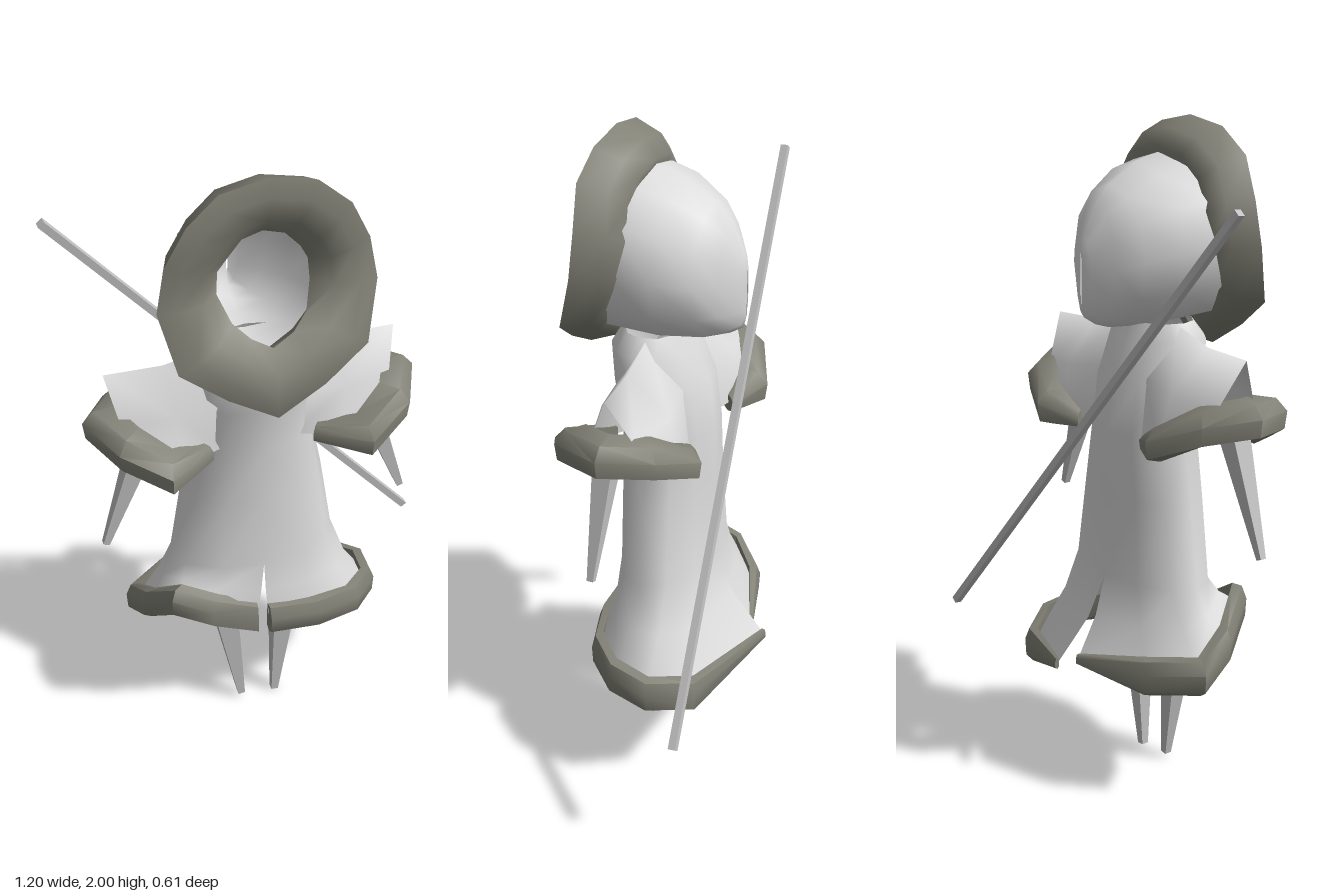
import * as THREE from 'three';
import { mergeVertices, toCreasedNormals } from 'three/addons/utils/BufferGeometryUtils.js';

const CX = -0.045; // the figure stands slightly to one side of the staff's middle
const cloth = new THREE.MeshStandardMaterial({ color: 0xdcdcdc, side: THREE.DoubleSide });
cloth.name = 'pale cloth';
const fur = new THREE.MeshStandardMaterial({ color: 0x828277, side: THREE.DoubleSide });
fur.name = 'grey fur';
const wood = new THREE.MeshStandardMaterial({ color: 0xc2c2c2 });
wood.name = 'light grey';

// Skins one or more grids of points; turns each grid's faces outward by signed volume
function loft(grids, { crease = 0, closed = false, caps = false } = {}) {
  const points = [];
  for (const rows of grids) {
    const tris = [];
    const n = rows[0].length, cols = closed ? n : n - 1;
    for (let i = 0; i < rows.length - 1; i++) {
      for (let j = 0; j < cols; j++) {
        const k = (j + 1) % n;
        const [a, b, c, d] = [rows[i][j], rows[i][k], rows[i + 1][k], rows[i + 1][j]];
        tris.push([a, b, c], [a, c, d]);
      }
    }
    if (caps) {
      const e = rows[rows.length - 1];
      for (let j = 1; j < n - 1; j++) tris.push([rows[0][0], rows[0][j + 1], rows[0][j]], [e[0], e[j], e[j + 1]]);
    }
    const v = tris.map((t) => t.map((p) => new THREE.Vector3(...p)));
    const all = v.flat();
    const mid = all.reduce((s, p) => s.add(p), new THREE.Vector3()).divideScalar(all.length);
    const volume = v.reduce((sum, t) => {
      const [a, b, c] = t.map((p) => p.clone().sub(mid));
      return sum + a.dot(b.cross(c));
    }, 0);
    if (volume < 0) v.forEach((t) => t.reverse());
    points.push(...v.flat());
  }
  const soup = new THREE.BufferGeometry().setFromPoints(points);
  if (crease) return toCreasedNormals(soup, crease);
  const geo = mergeVertices(soup, 1e-4);
  geo.computeVertexNormals();
  return geo;
}

// Fur trim: a six-sided roll following a path, pushed outward from a centre;
// a fourth value at a path point thins the roll there
function trim(path, [cx, cz], height, depth) {
  const rows = path.map(([x, y, z, thin = 1]) => {
    const d = new THREE.Vector2(x - cx, z - cz).normalize().multiplyScalar(depth * thin);
    return [[-0.5, 0.5], [0.5, 0.45], [1, 0.1], [0.9, -0.4], [0.1, -0.55], [-0.5, -0.4]]
      .map(([o, u]) => [x + d.x * o, y + u * height * thin, z + d.y * o]);
  });
  return loft([rows], { closed: true, caps: true, crease: 0.9 });
}

// Four-sided rod between two points, with its own width at either end
function rod(from, to, r0, r1) {
  const a = new THREE.Vector3(...from), b = new THREE.Vector3(...to);
  const geo = new THREE.CylinderGeometry(r0, r1, a.distanceTo(b), 4).toNonIndexed();
  geo.rotateY(Math.PI / 4);
  geo.computeVertexNormals();
  const dir = a.clone().sub(b).normalize();
  geo.applyQuaternion(new THREE.Quaternion().setFromUnitVectors(new THREE.Vector3(0, 1, 0), dir));
  const m = a.add(b).multiplyScalar(0.5);
  return geo.translate(m.x, m.y, m.z);
}

export function createModel() {
  const model = new THREE.Group();
  model.name = 'hoodedFigure';
  const add = (name, geo, mat) => {
    const mesh = new THREE.Mesh(geo, mat);
    mesh.name = name;
    model.add(mesh);
  };

  // Hem of each skirt flap, front slit round to back slit
  const hems = {
    1: [[-0.035, 0.435, 0.18], [0.11, 0.42, 0.185], [0.25, 0.405, 0.15], [0.335, 0.385, 0.06],
      [0.35, 0.36, -0.06], [0.26, 0.335, -0.175], [-0.03, 0.4, -0.29, 0.3]],
    '-1': [[-0.07, 0.445, 0.175], [-0.2, 0.51, 0.18], [-0.32, 0.58, 0.17], [-0.385, 0.49, 0.06],
      [-0.41, 0.425, -0.05], [-0.28, 0.41, -0.155], [-0.06, 0.41, -0.235, 0.3]],
  };

  // Robe: height, half width, front z, back z
  const profile = [[1.42, 0.13, 0.17, -0.02], [1.37, 0.17, 0.205, -0.04], [1.25, 0.19, 0.195, -0.09],
    [1.1, 0.185, 0.17, -0.11], [0.9, 0.225, 0.165, -0.11], [0.65, 0.265, 0.165, -0.12]];
  const halves = [1, -1].map((s) => {
    const rows = profile.map(([y, w, f, b]) => Array.from({ length: 7 }, (_, j) => {
      const a = (j / 6) * Math.PI;
      return [CX + s * w * (j % 6 ? Math.sin(a) : 0), y, (f + b) / 2 + Math.cos(a) * (f - b) / 2];
    }));
    const waist = rows[5];
    const hem = hems[s].map(([x, y, z]) => [x, y, z]);
    rows.push(waist.map((p, j) => {
      const h = hem[j];
      return [p[0] + (h[0] - p[0]) * 0.4, (p[1] + h[1]) / 2, p[2] + (h[2] - p[2]) * 0.35];
    }), hem);
    return rows;
  });
  add('robe', loft(halves), cloth);

  for (const s of [1, -1]) {
    const side = s > 0 ? 'left' : 'right';
    const mir = ([x, ...rest]) => [CX + s * (x - CX), ...rest];
    add(side + 'HemFur', trim(hems[s], [CX, 0], 0.11, 0.03), fur);

    // Sleeve: arched tent widening from the shoulder to a pointed end
    const sleeve = [
      [[0.06, 1.1, 0.12], [0.06, 1.27, 0.15], [0.07, 1.415, 0.06], [0.06, 1.27, -0.05], [0.06, 1.1, -0.07]],
      [[0.2, 1.11, 0.18], [0.21, 1.25, 0.14], [0.22, 1.375, 0.05], [0.2, 1.25, -0.07], [0.18, 1.1, -0.1]],
      [[0.31, 1.15, 0.16], [0.36, 1.23, 0.1], [0.39, 1.37, 0.04], [0.35, 1.23, -0.03], [0.26, 1.14, -0.09]],
    ].map((r) => r.map(mir));
    add(side + 'Sleeve', loft([sleeve]), cloth);

    // Cuff: fur arch over the sleeve opening
    const cuff = [[0.125, 1.115, 0.14, 0.5], [0.24, 1.125, 0.21], [0.34, 1.19, 0.16], [0.395, 1.205, 0.04],
      [0.32, 1.185, -0.06], [0.21, 1.125, -0.11], [0.12, 1.1, -0.08, 0.5]].map(mir);
    add(side + 'CuffFur', trim(cuff, [mir([0.2])[0], 0.04], 0.105, 0.065), fur);

    add(side + 'Arm', rod(mir([0.285, 1.18, 0.08]), mir([0.426, 0.79, 0.08]), 0.05, 0.014), wood);
  }

  // Legs
  add('leftLeg', rod([0.05, 0.5, 0.08], [0.016, 0, 0.08], 0.06, 0.016), wood);
  add('rightLeg', rod([-0.165, 0.5, 0.08], [-0.1, 0.015, 0.08], 0.06, 0.016), wood);

  // Hood: z, half width, bottom, top, forward lean of the lower rim
  const hood = [[0.12, 0.25, 1.41, 1.91, 0.09], [0.0, 0.225, 1.4, 1.88, 0.03], [-0.1, 0.165, 1.41, 1.82, 0],
    [-0.15, 0.1, 1.425, 1.765, 0], [-0.19, 0.035, 1.45, 1.68, 0], [-0.2, 0.003, 1.49, 1.64, 0]]
    .map(([z, w, y0, y1, lean]) => Array.from({ length: 12 }, (_, j) => {
      const a = (j / 12) * Math.PI * 2;
      return [CX + w * Math.sin(a), (y0 + y1) / 2 + Math.cos(a) * (y1 - y0) / 2,
        z + lean * Math.max(0, -Math.cos(a))];
    }));
  add('hood', loft([hood], { closed: true }), cloth);

  // Hood fur: outer and inner outline of one side, top to bottom, then mirrored
  const outer = [[0, 2], [0.135, 1.975], [0.225, 1.9], [0.285, 1.78], [0.31, 1.65], [0.27, 1.48], [0.14, 1.39], [0, 1.31]];
  const inner = [[0, 1.82], [0.06, 1.805], [0.1, 1.765], [0.127, 1.715], [0.132, 1.65], [0.105, 1.585], [0.06, 1.545], [0, 1.51]];
  const rim = [0.2, 0.205, 0.215, 0.2, 0.205, 0.26, 0.29, 0.3]; // z of the outer edge
  const station = (i, s) => {
    const [o, n] = [outer[i], inner[i]];
    const z = rim[i];
    const pt = (t, depth) => [CX + s * (n[0] + (o[0] - n[0]) * t), n[1] + (o[1] - n[1]) * t, depth];
    return [pt(1, z), pt(0.7, z + 0.012), pt(0.3, z), pt(0, z - 0.05), pt(0.2, z - 0.11), pt(0.55, z - 0.125),
      pt(0.82, z - 0.085)];
  };
  const ring = [0, 1, 2, 3, 4, 5, 6, 7].map((i) => station(i, 1));
  for (let i = 6; i >= 0; i--) ring.push(station(i, -1));
  add('hoodFur', loft([ring], { closed: true, crease: 1.2 }), fur);

  // Staff slung across the back
  add('staff', rod([-0.592, 1.8, -0.1], [0.592, 0.4, -0.253], 0.016, 0.016), wood);
  return model;
}
